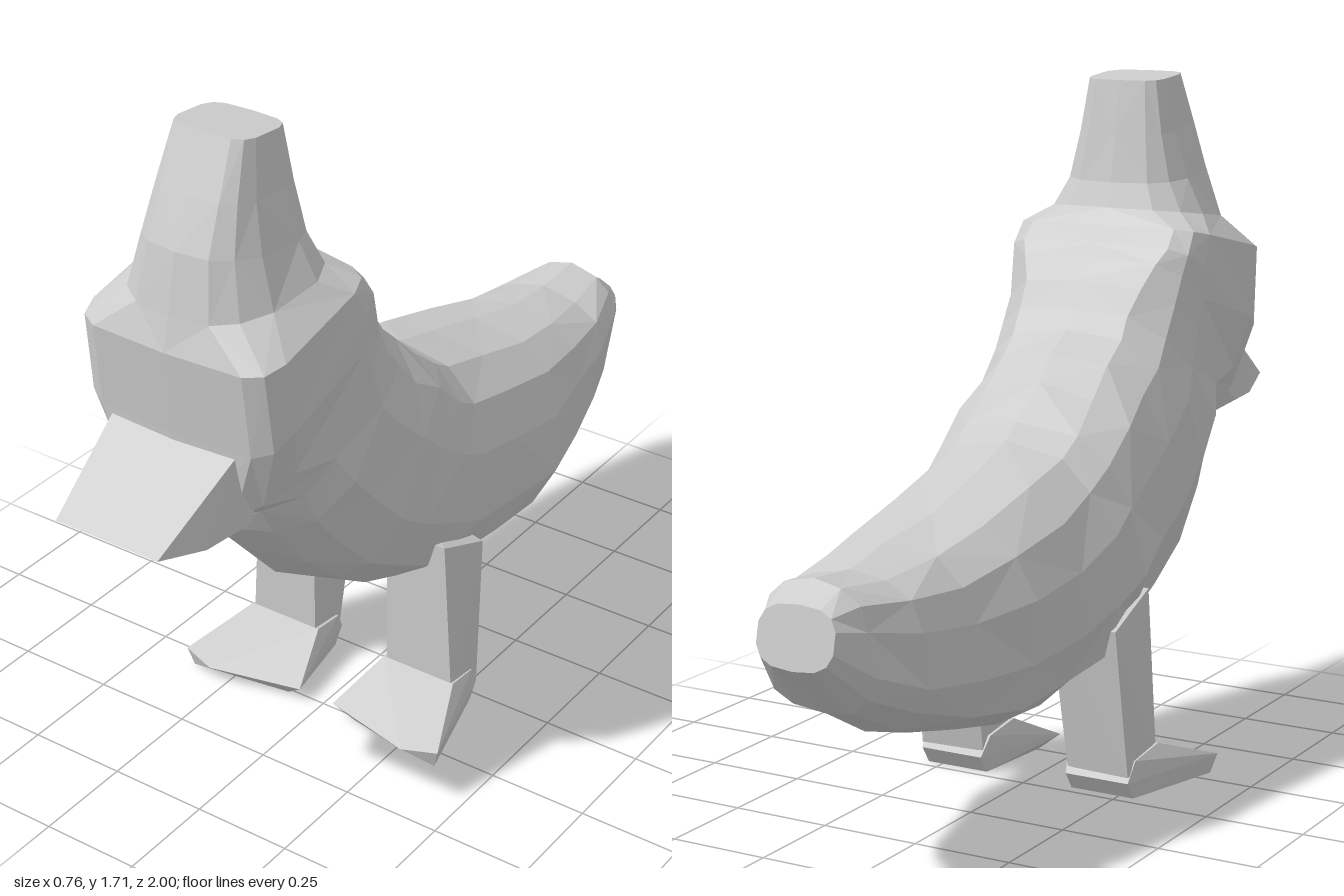
import * as THREE from 'three';
import { ConvexGeometry } from 'three/addons/geometries/ConvexGeometry.js';

const material = new THREE.MeshStandardMaterial({ color: 0xcccccc, flatShading: true });

// Cross-sections from tail to crown:
// [belly z, belly y, back z, back y, half width, squareness, width factor at belly side]
const RINGS = [
  [-1.00, 0.54, -0.97, 0.68, 0.10, 2.8, 1],
  [-0.88, 0.42, -0.92, 0.72, 0.14, 2.8, 1],
  [-0.73, 0.34, -0.78, 0.715, 0.185, 2.6, 1],
  [-0.55, 0.28, -0.62, 0.735, 0.225, 2.5, 1],
  [-0.38, 0.25, -0.45, 0.775, 0.265, 2.5, 1],
  [-0.18, 0.26, -0.25, 0.825, 0.275, 2.5, 1],
  [0.00, 0.28, -0.10, 0.87, 0.28, 2.5, 1],
  [0.14, 0.34, -0.03, 0.92, 0.285, 2.5, 1],
  [0.27, 0.40, 0.05, 0.99, 0.285, 2.5, 1],
  [0.40, 0.48, 0.12, 1.05, 0.285, 2.5, 1],
  [0.52, 0.60, 0.18, 1.10, 0.28, 2.5, 1],
  [0.61, 0.72, 0.22, 1.15, 0.275, 2.6, 0.95],
  [0.65, 0.81, 0.26, 1.22, 0.27, 3.0, 0.9],
  [0.76, 0.86, 0.30, 1.27, 0.265, 4.5, 0.8],
  [0.77, 1.04, 0.33, 1.30, 0.265, 6, 1.02],
  [0.79, 1.25, 0.37, 1.34, 0.26, 6, 1.02],
  [0.77, 1.33, 0.40, 1.38, 0.21, 3, 0.8],
  [0.74, 1.47, 0.42, 1.44, 0.165, 3, 0.85],
  [0.69, 1.58, 0.44, 1.56, 0.13, 3.5, 0.95],
  [0.63, 1.705, 0.46, 1.69, 0.105, 4, 1],
];

const superPow = (v, p) => Math.sign(v) * Math.pow(Math.abs(v), 2 / p);

// Loft one closed, capped skin through all cross-sections
function bodyGeometry(sides = 14) {
  const pos = [], index = [];
  let seed = 7;
  const jitter = (amount) => {
    seed = (seed * 16807) % 2147483647;
    return (seed / 2147483647 - 0.5) * amount;
  };
  RINGS.forEach(([z0, y0, z1, y1, w, p, taper], i) => {
    const rough = i === 0 || i >= 13 ? 0 : 0.018;
    for (let j = 0; j < sides; j++) {
      const a = (j / sides) * Math.PI * 2;
      const c = superPow(Math.cos(a), p), s = superPow(Math.sin(a), p);
      const t = (1 - c) / 2;
      const width = w * (c > 0 ? 1 + (taper - 1) * c : 1);
      pos.push(
        s * width - 0.012 + jitter(rough),
        y0 + (y1 - y0) * t + jitter(rough),
        z0 + (z1 - z0) * t + jitter(rough),
      );
    }
  });
  const last = RINGS.length - 1;
  for (let i = 0; i < last; i++) {
    for (let j = 0; j < sides; j++) {
      const k = (j + 1) % sides;
      const a = i * sides + j, b = i * sides + k, c = a + sides, d = b + sides;
      if ((i + j) % 2) index.push(a, b, d, a, d, c);
      else index.push(a, b, c, b, d, c);
    }
  }
  // Tail and crown caps
  for (const i of [0, last]) {
    const [z0, y0, z1, y1] = RINGS[i];
    const centre = pos.length / 3;
    pos.push(-0.012, (y0 + y1) / 2, (z0 + z1) / 2);
    for (let j = 0; j < sides; j++) {
      const a = i * sides + j, b = i * sides + ((j + 1) % sides);
      index.push(centre, ...(i ? [a, b] : [b, a]));
    }
  }
  const geometry = new THREE.BufferGeometry();
  geometry.setAttribute('position', new THREE.Float32BufferAttribute(pos, 3));
  geometry.setIndex(index);
  geometry.computeVertexNormals();
  return geometry;
}

// Faceted solid around a few corner points, optionally mirrored in x
function hull(points, side = 1) {
  return new ConvexGeometry(points.map(([x, y, z]) => new THREE.Vector3(x * side, y, z)));
}

function addPart(parent, name, geometry) {
  const mesh = new THREE.Mesh(geometry, material);
  mesh.name = name;
  parent.add(mesh);
  return mesh;
}

export function createModel() {
  const model = new THREE.Group();
  model.name = 'bird';

  addPart(model, 'body', bodyGeometry());

  // Broad wedge beak
  const beak = [];
  for (const s of [-1, 1]) {
    beak.push(
      [s * 0.17, 1.03, 0.76], [s * 0.14, 0.885, 1.0],
      [s * 0.17, 0.855, 0.87], [s * 0.19, 0.86, 0.74],
      [s * 0.12, 0.81, 0.66], [s * 0.15, 1.0, 0.6],
    );
  }
  addPart(model, 'beak', hull(beak)).position.x = -0.02;

  // Legs with splayed, flat feet
  for (const side of [1, -1]) {
    const leg = new THREE.Group();
    leg.name = side > 0 ? 'leftLeg' : 'rightLeg';
    model.add(leg);
    addPart(leg, 'shank', hull([
      [0.11, 0.5, 0.13], [0.275, 0.5, 0.13], [0.11, 0.45, -0.06], [0.275, 0.43, -0.04],
      [0.11, 0.08, 0.13], [0.30, 0.08, 0.13], [0.12, 0.06, 0.01], [0.29, 0.06, 0.0],
    ], side));
    addPart(leg, 'foot', hull([
      [0.10, 0.115, 0.13], [0.305, 0.115, 0.13], [0.11, 0.095, 0.03], [0.295, 0.095, 0.03],
      [0.05, 0.04, 0.28], [0.38, 0.05, 0.31], [0.29, 0.04, 0.335],
      [0.10, 0, 0.26], [0.365, 0, 0.30], [0.12, 0, 0.03], [0.29, 0, 0.03],
      [0.12, 0.045, 0.0], [0.29, 0.045, 0.0],
    ], side));
  }
  return model;
}
